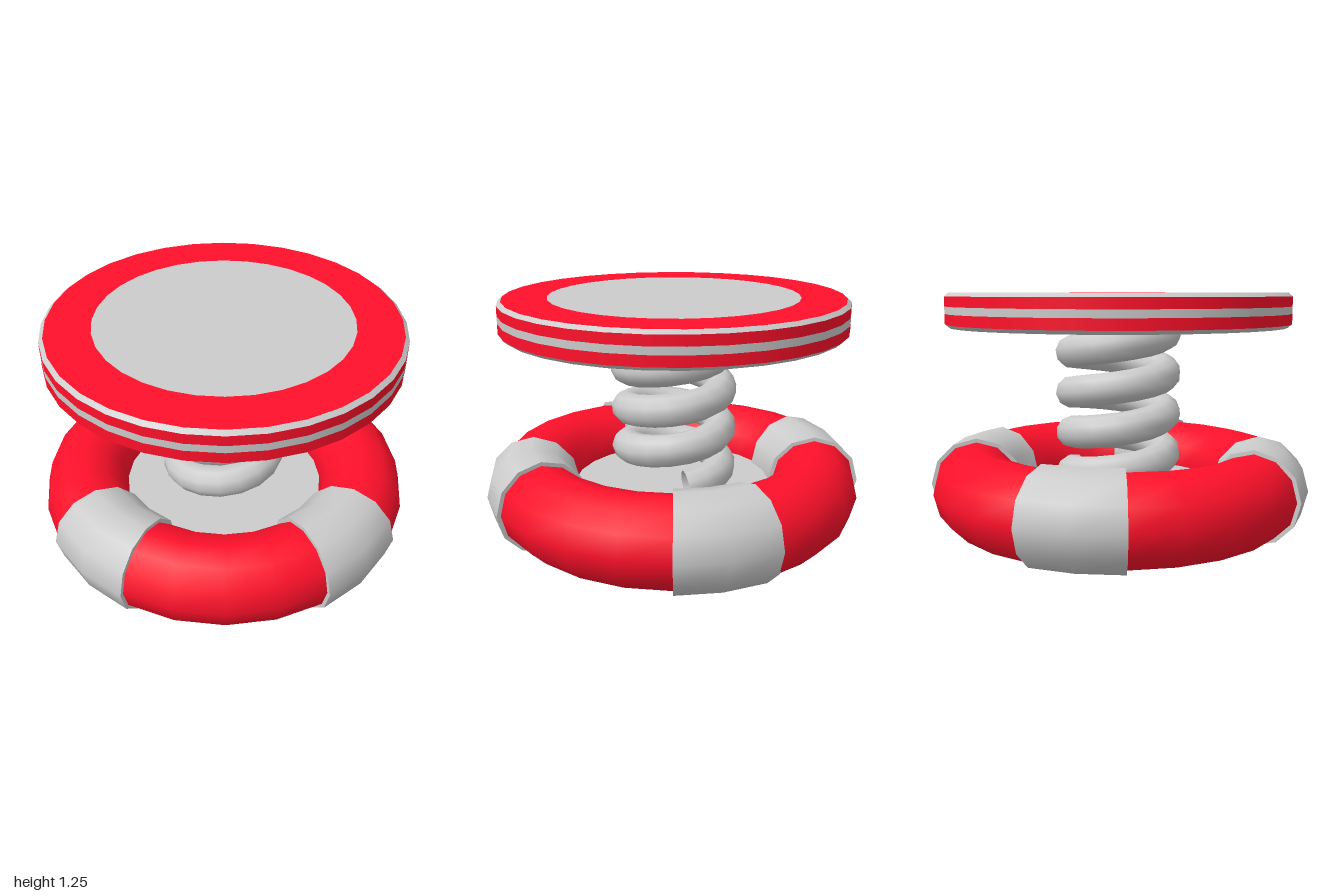
import * as THREE from 'three';

const grey = new THREE.MeshStandardMaterial({ color: 0xcccccc, side: THREE.DoubleSide });
const red = new THREE.MeshStandardMaterial({ color: 0xff102a, side: THREE.DoubleSide });

const RING_R = 0.757, RING_Y = 0.243, BAND_R = 0.243, TUBE_R = 0.222;

// Helix rising counter-clockwise about the y axis, starting at the back
class Helix extends THREE.Curve {
  getPoint(t, target = new THREE.Vector3()) {
    const a = -Math.PI / 2 - t * 4 * Math.PI * 2;
    return target.set(0.247 * Math.cos(a), 0.3 + 0.85 * t, -0.247 * -Math.sin(a));
  }
}

export function createModel() {
  const group = new THREE.Group();

  const add = (name, geometry, material, parent = group) => {
    const mesh = new THREE.Mesh(geometry, material);
    mesh.name = name;
    parent.add(mesh);
    return mesh;
  };

  // Round base ring
  const ring = new THREE.TorusGeometry(RING_R, TUBE_R, 12, 24).rotateX(-Math.PI / 2);
  add('baseRing', ring, red).position.y = RING_Y;

  // Four bands wrapped around the ring, each with closed ends
  const half = Math.PI / 12;
  for (let i = 0; i < 4; i++) {
    const band = new THREE.Group();
    band.name = 'ringBand';
    band.position.y = RING_Y;
    band.rotation.y = i * Math.PI / 2;
    const sleeve = new THREE.TorusGeometry(RING_R, BAND_R, 12, 2, 2 * half);
    add('bandSleeve', sleeve.rotateZ(-half).rotateX(-Math.PI / 2), grey, band);
    for (const s of [-1, 1]) {
      const end = new THREE.RingGeometry(TUBE_R - 0.01, BAND_R, 12, 1);
      if (s > 0) end.rotateY(Math.PI);
      end.translate(RING_R, 0, 0).rotateY(-s * half);
      add('bandEnd', end, grey, band);
    }
    group.add(band);
  }

  // Floor inside the ring
  add('baseFloor', new THREE.CylinderGeometry(0.57, 0.57, 0.04, 32), grey).position.y = 0.225;

  // Coil spring
  add('spring', new THREE.TubeGeometry(new Helix(), 72, 0.085, 10, false), grey);

  // Round top plate: one turned strip per flat, bevel or stripe
  const plate = new THREE.Group();
  plate.name = 'topPlate';
  group.add(plate);
  const strip = (name, material, r0, y0, r1, y1) => add(name, new THREE.LatheGeometry(
    [new THREE.Vector2(r0, y0), new THREE.Vector2(r1, y1)], 32), material, plate);
  strip('plateUnderside', red, 0, 1.08, 0.872, 1.08);
  strip('lowerBevel', grey, 0.872, 1.08, 0.893, 1.098);
  strip('lowerSide', red, 0.893, 1.098, 0.893, 1.15);
  strip('sideStripe', grey, 0.893, 1.15, 0.893, 1.187);
  strip('upperSide', red, 0.893, 1.187, 0.893, 1.237);
  strip('upperBevel', grey, 0.893, 1.237, 0.872, 1.255);
  strip('plateRim', red, 0.872, 1.255, 0.645, 1.255);
  strip('plateCentre', grey, 0.645, 1.255, 0, 1.255);

  return group;
}
